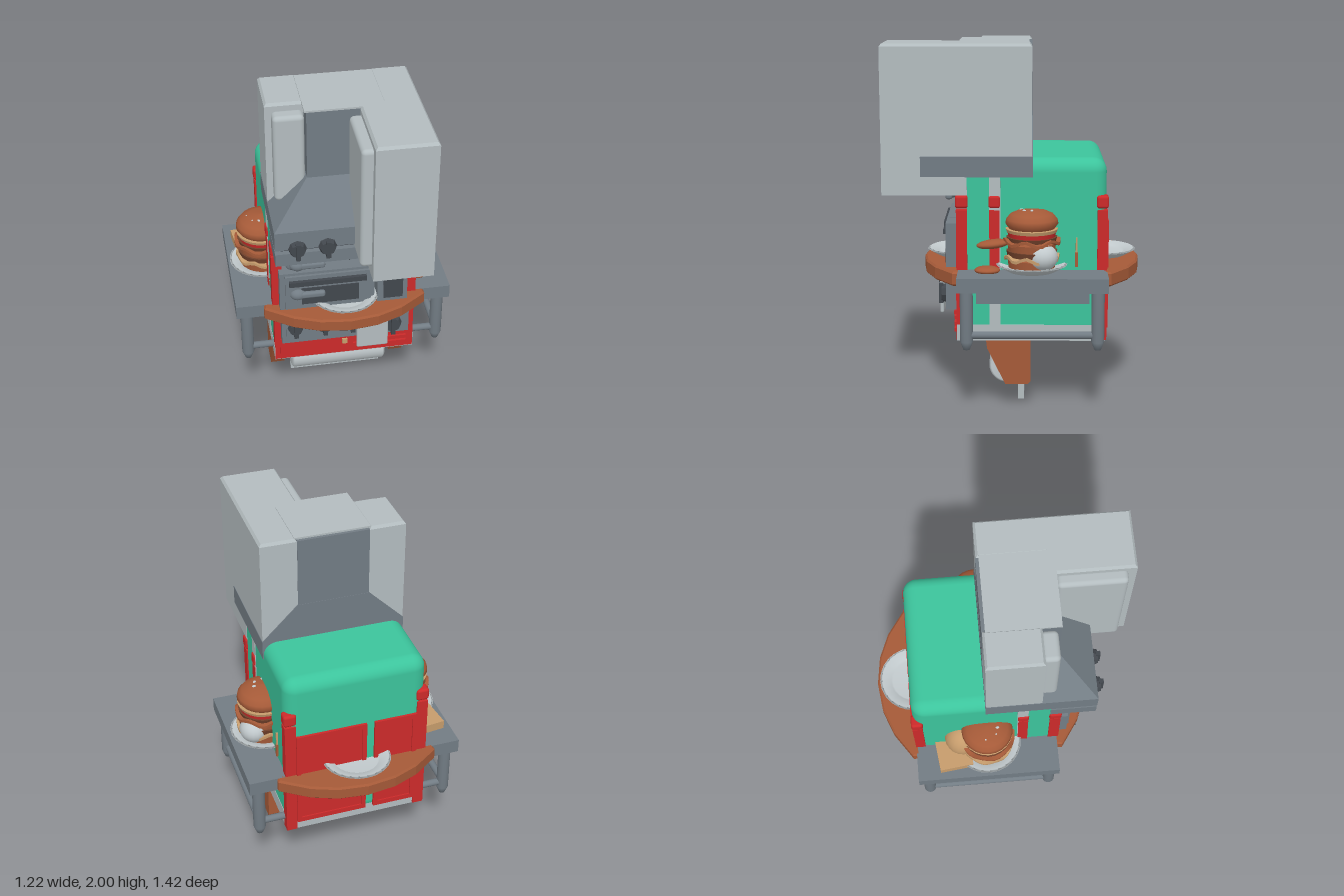
import * as THREE from 'three';
import { RoundedBoxGeometry } from 'three/addons/geometries/RoundedBoxGeometry.js';

const mat = (name, color) => {
  const m = new THREE.MeshStandardMaterial({ color });
  m.name = name;
  return m;
};
const points = list => list.map(([x, y]) => new THREE.Vector2(x, y));

export function createModel() {
  const teal = mat('teal wall', 0x3cc49c);
  const red = mat('red trim', 0xcc2a2a);
  const steel = mat('steel', 0x727c84);
  const light = mat('pale grey', 0xb3bcbf);
  const dark = mat('dark iron', 0x42474d);
  const wood = mat('wood', 0xa55a38);
  const tan = mat('tan', 0xc69c6c);
  const white = mat('china', 0xc2cacd);
  const patty = mat('patty', 0x70402a);

  const root = new THREE.Group();
  root.name = 'kitchen';
  const add = (name, geo, material, x = 0, y = 0, z = 0, parent = root) => {
    const m = new THREE.Mesh(geo, material);
    m.name = name;
    m.position.set(x, y, z);
    parent.add(m);
    return m;
  };
  // Box given by its limits, optionally with rounded edges
  const box = (name, material, x0, x1, y0, y1, z0, z1, r = 0, parent = root) => {
    const s = [x1 - x0, y1 - y0, z1 - z0];
    const geo = r ? new RoundedBoxGeometry(...s, 4, r) : new THREE.BoxGeometry(...s);
    return add(name, geo, material, (x0 + x1) / 2, (y0 + y1) / 2, (z0 + z1) / 2, parent);
  };
  // Box repeated on both sides of x = 0
  const pair = (name, material, x0, x1, ...rest) => {
    box(name, material, x0, x1, ...rest);
    box(name, material, -x1, -x0, ...rest);
  };
  const ball = (name, material, x, y, z, sx, sy, sz, parent = root) => {
    const m = add(name, new THREE.SphereGeometry(1, 20, 14), material, x, y, z, parent);
    m.scale.set(sx, sy, sz);
    return m;
  };
  const rod = (name, material, r, len, axis, x, y, z) => {
    const m = add(name, new THREE.CylinderGeometry(r, r, len, 16), material, x, y, z);
    if (axis === 'x') m.rotation.z = Math.PI / 2;
    else m.rotation.x = Math.PI / 2;
  };
  const knob = (x, y, z, r = 0.045) => {
    const g = new THREE.Group();
    g.name = 'knob';
    g.position.set(x, y, z);
    root.add(g);
    const disc = new THREE.CylinderGeometry(r * 0.8, r, 0.03, 8).rotateX(Math.PI / 2).toNonIndexed();
    disc.computeVertexNormals();
    add('knobDisc', disc, dark, 0, 0, 0.015, g);
    box('knobGrip', dark, -0.012, 0.012, -r, r, 0.02, 0.045, 0, g);
  };

  // Main body
  box('rearBody', teal, -0.4, 0.4, 0.4, 1.39, -0.505, 0.05, 0.075);
  box('frontBody', teal, -0.4, 0.4, 0.4, 1.29, -0.1, 0.25);
  box('base', light, -0.402, 0.402, 0.38, 0.47, -0.5, 0.31);
  pair('sideStrip', light, 0.39, 0.404, 0.4, 1.29, 0.07, 0.13);
  for (const [z0, z1, x0] of [[0.25, 0.31, 0.35], [0.075, 0.13, 0.385], [-0.51, -0.455, 0.345]]) {
    pair('pillar', red, x0, 0.407, 0.76, 1.11, z0, z1);
    pair('pillarCap', red, x0 - 0.005, 0.412, 1.12, 1.19, z0 - 0.005, z1 + 0.005, 0.015);
  }
  pair('rearPost', red, 0.345, 0.406, 0.385, 0.76, -0.51, -0.455);
  for (const [x0, x1] of [[-0.345, -0.1], [-0.055, 0.345]]) {
    box('rearPanel', red, x0, x1, 0.44, 1.04, -0.512, -0.49);
    for (const [a, b, c, d] of [[x0, x1, 0.44, 0.47], [x0, x1, 1.01, 1.04], [x0, x0 + 0.025, 0.47, 1.01], [x1 - 0.025, x1, 0.47, 1.01]])
      box('panelFrame', red, a, b, c, d, -0.52, -0.5);
  }

  // Upper cabinets with bevelled tops, and the flue between them
  const topped = (name, x0, x1, y0, z0, z1) => {
    box(name, light, x0, x1, y0, 1.985, z0, z1);
    const cap = box(name + 'Top', light, x0, x1, 1.985, 2, z0, z1).geometry;
    const p = cap.attributes.position;
    for (let i = 0; i < p.count; i++)
      if (p.getY(i) > 0) {
        p.setX(i, p.getX(i) - Math.sign(p.getX(i)) * 0.012);
        p.setZ(i, p.getZ(i) - Math.sign(p.getZ(i)) * 0.012);
      }
    cap.computeVertexNormals();
  };
  topped('leftCabinet', -0.403, -0.2, 1.29, -0.1, 0.2);
  topped('rightCabinet', 0.2, 0.403, 1.29, -0.1, 0.3);
  topped('tallCabinet', 0.08, 0.403, 1.19, 0.25, 0.71);
  box('flue', steel, -0.2, 0.2, 1.5, 1.99, -0.103, 0.3);
  box('flueTop', light, -0.21, 0.21, 1.99, 2, -0.085, 0.3);
  box('cabinetDoor', light, -0.37, -0.205, 1.45, 1.96, 0.19, 0.28, 0.025);
  box('tallDoor', light, 0.02, 0.1, 1.25, 1.96, 0.3, 0.665, 0.025);

  // Extractor hood, tapering towards the flue
  const hood = new THREE.BoxGeometry(0.81, 0.2, 0.605).translate(0, 1.5, 0.1975);
  const hp = hood.attributes.position;
  for (let i = 0; i < hp.count; i++)
    if (hp.getY(i) > 1.5) {
      hp.setX(i, hp.getX(i) / 2);
      if (hp.getZ(i) > 0) hp.setZ(i, 0.3);
    }
  hood.computeVertexNormals();
  add('hood', hood, steel);
  box('hoodRim', steel, -0.405, 0.405, 1.29, 1.4, -0.105, 0.5);
  box('hoodCore', dark, -0.37, 0.37, 1.26, 1.3, 0.2, 0.47);
  box('hoodBase', steel, -0.403, 0.2, 1.19, 1.265, 0.25, 0.5);
  for (const x of [-0.285, -0.125]) knob(x, 1.295, 0.5, 0.05);
  add('hoodPointer', new THREE.ConeGeometry(0.04, 0.04, 4).rotateX(Math.PI), dark, 0, 1.175, 0.46);

  // Oven, microwave and handles
  box('oven', steel, -0.37, 0.16, 0.76, 1.025, 0.24, 0.36);
  box('ovenDoor', steel, -0.34, 0.14, 0.79, 1.01, 0.36, 0.375);
  box('ovenHandle', dark, -0.32, 0.11, 0.955, 0.985, 0.375, 0.395);
  box('ovenWindow', dark, -0.25, 0.07, 0.82, 0.93, 0.372, 0.379);
  box('microwave', steel, 0.175, 0.345, 0.76, 1.025, 0.24, 0.37);
  box('microwaveWindow', dark, 0.21, 0.32, 0.8, 0.93, 0.366, 0.373);
  box('microwaveBar', dark, 0.21, 0.32, 0.96, 0.985, 0.37, 0.385);
  box('tapBlock', steel, -0.33, -0.2, 1.03, 1.15, 0.24, 0.35, 0.03);
  for (const y of [1.09, 0.89]) {
    box('lever', steel, -0.3, -0.12, y - 0.02, y + 0.02, 0.36, 0.4, 0.015);
    ball('leverHub', steel, -0.27, y, 0.37, 0.045, 0.035, 0.035);
  }

  // Stove front and red drawer
  box('stove', steel, -0.365, 0.36, 0.545, 0.72, 0.25, 0.37);
  box('stoveLip', steel, -0.34, 0.2, 0.6, 0.7, 0.37, 0.385);
  for (const x of [-0.29, -0.125, 0.03]) knob(x, 0.665, 0.385);
  knob(0.265, 0.615, 0.37, 0.055);
  box('towel', light, 0.055, 0.235, 0.49, 0.72, 0.39, 0.412, 0.01);
  box('redFront', red, -0.4, 0.4, 0.385, 0.7, 0.25, 0.312);
  box('drawer', red, -0.37, 0.05, 0.41, 0.53, 0.31, 0.322);
  box('drawerStep', red, 0.05, 0.15, 0.41, 0.45, 0.31, 0.322);
  for (const y of [0.43, 0.465, 0.5, 0.53]) box('louvre', red, 0.16, 0.36, y - 0.011, y + 0.008, 0.31, 0.326);
  box('drawerPull', tan, -0.015, 0.015, 0.465, 0.495, 0.32, 0.335);

  // Side tables
  pair('tableTop', steel, 0.39, 0.61, 0.7, 0.78, -0.508, 0.3);
  pair('apron', steel, 0.39, 0.52, 0.62, 0.7, -0.41, 0.2);
  const legGeo = new THREE.LatheGeometry(points([[0, 0.375], [0.018, 0.375], [0.035, 0.42], [0.035, 0.7]]), 14);
  for (const s of [-1, 1]) {
    for (const z of [0.25, -0.455]) {
      add('tableLeg', legGeo, steel, s * 0.55, 0, z);
      rod('crossRail', steel, 0.02, 0.16, 'x', s * 0.47, 0.455, z);
    }
    rod('sideRail', steel, 0.02, 0.7, 'z', s * 0.55, 0.455, -0.1);
  }

  // Curved wooden bars, front and back
  const half = [[0.445, 0], [0.445, 0.025], [0.3, 0.125], [0.16, 0.18], [0, 0.2]];
  const outline = [...half, ...half.slice(0, 4).reverse().map(([x, z]) => [-x, z])];
  const bar = new THREE.ExtrudeGeometry(new THREE.Shape(points(outline)),
    { depth: 0.06, bevelThickness: 0.01, bevelSize: 0.01, bevelSegments: 1 }).rotateX(Math.PI / 2);
  add('frontBar', bar, wood, 0, 0.77, 0.3);
  add('backBar', bar, wood, 0, 0.77, -0.5).rotation.y = Math.PI;

  // Plates
  const plateGeo = new THREE.LatheGeometry(points(
    [[0, 0], [0.13, 0], [0.193, 0.036], [0.18, 0.042], [0.13, 0.025], [0.12, 0.012], [0, 0.012]]), 24);
  for (const [x, z] of [[0, 0.3], [0, -0.5], [0.41, -0.1], [-0.41, -0.1]]) add('plate', plateGeo, white, x, 0.78, z);

  // Stacked burgers
  const leaf = (r, waves) => {
    const g = new THREE.CylinderGeometry(r, r, 0.016, 32, 1);
    const p = g.attributes.position;
    for (let i = 0; i < p.count; i++) {
      const d = Math.hypot(p.getX(i), p.getZ(i)), a = Math.atan2(p.getZ(i), p.getX(i));
      if (d > 0.01) p.setY(i, p.getY(i) + 0.013 * Math.sin(a * waves));
    }
    g.computeVertexNormals();
    return g;
  };
  const crown = new THREE.LatheGeometry(points(
    [[0.125, 0], [0.143, 0.025], [0.138, 0.05], [0.115, 0.078], [0.07, 0.097], [0, 0.104]]), 24);
  for (const s of [-1, 1]) {
    const b = new THREE.Group();
    b.name = 'burger';
    b.position.set(s * 0.415, 0.79, -0.1);
    root.add(b);
    const slice = (name, m, r, y, h) => add(name, new THREE.CylinderGeometry(r, r * 0.96, h, 24), m, 0, y, 0, b);
    slice('bottomBun', wood, 0.13, 0.03, 0.06);
    add('lowerLeaf', leaf(0.15, 7), tan, 0, 0.07, 0, b);
    slice('lowerPatty', patty, 0.138, 0.093, 0.03);
    slice('middleBun', wood, 0.132, 0.127, 0.04);
    add('upperLeaf', leaf(0.155, 6), wood, 0, 0.16, 0, b);
    slice('upperPatty', patty, 0.138, 0.172, 0.022);
    slice('tomato', red, 0.132, 0.195, 0.026);
    slice('cheese', tan, 0.142, 0.217, 0.018);
    add('topBun', crown, wood, 0, 0.228, 0, b);
    for (let i = 0; i < 8; i++) {
      const a = i * 2.4, r = 0.045 + 0.06 * ((i * 0.37) % 1);
      ball('seed', white, r * Math.cos(a), 0.335 - r * r * 3.4, r * Math.sin(a), 0.012, 0.006, 0.008, b).rotation.y = a;
    }
  }

  // Food and tools on the tables
  ball('cup', white, 0.485, 0.87, -0.155, 0.08, 0.075, 0.085);
  ball('loaf', tan, -0.4, 0.9, -0.24, 0.1, 0.13, 0.1);
  box('cuttingBoard', tan, -0.56, -0.37, 0.78, 0.83, -0.39, -0.2).rotation.y = 0.12;
  ball('cutlet', wood, 0.45, 0.79, 0.14, 0.06, 0.022, 0.07);
  ball('wedge', wood, 0.43, 0.93, 0.11, 0.05, 0.025, 0.09).rotation.x = 0.12;
  box('knifeHandle', wood, 0.395, 0.412, 0.8, 0.88, -0.35, -0.335);
  box('knifeBlade', tan, 0.395, 0.41, 0.88, 0.96, -0.347, -0.338);

  // Paper roll and its wooden bracket underneath
  const arm = new THREE.Shape(points(
    [[-0.15, 0.38], [-0.145, 0.335], [-0.045, 0.13], [0.08, 0.13], [0.095, 0.145], [0.095, 0.38]]));
  const armGeo = new THREE.ExtrudeGeometry(arm, { depth: 0.08, bevelEnabled: false }).rotateY(Math.PI / 2);
  for (const x of [0.32, -0.4]) add('bracketArm', armGeo, wood, x);
  box('bracketTop', wood, -0.33, 0.33, 0.335, 0.379, -0.093, 0.14);
  rod('dowel', tan, 0.035, 0.66, 'x', 0, 0.2, 0.035);
  const roll = points([[0, -0.28], [0.09, -0.28], [0.102, -0.268], [0.102, 0.268], [0.09, 0.28], [0, 0.28]]);
  add('paperRoll', new THREE.LatheGeometry(roll, 32).rotateZ(Math.PI / 2), white, 0, 0.2, 0.035);
  box('paperSheet', light, -0.273, 0.273, 0, 0.22, -0.06, -0.025);

  return root;
}
